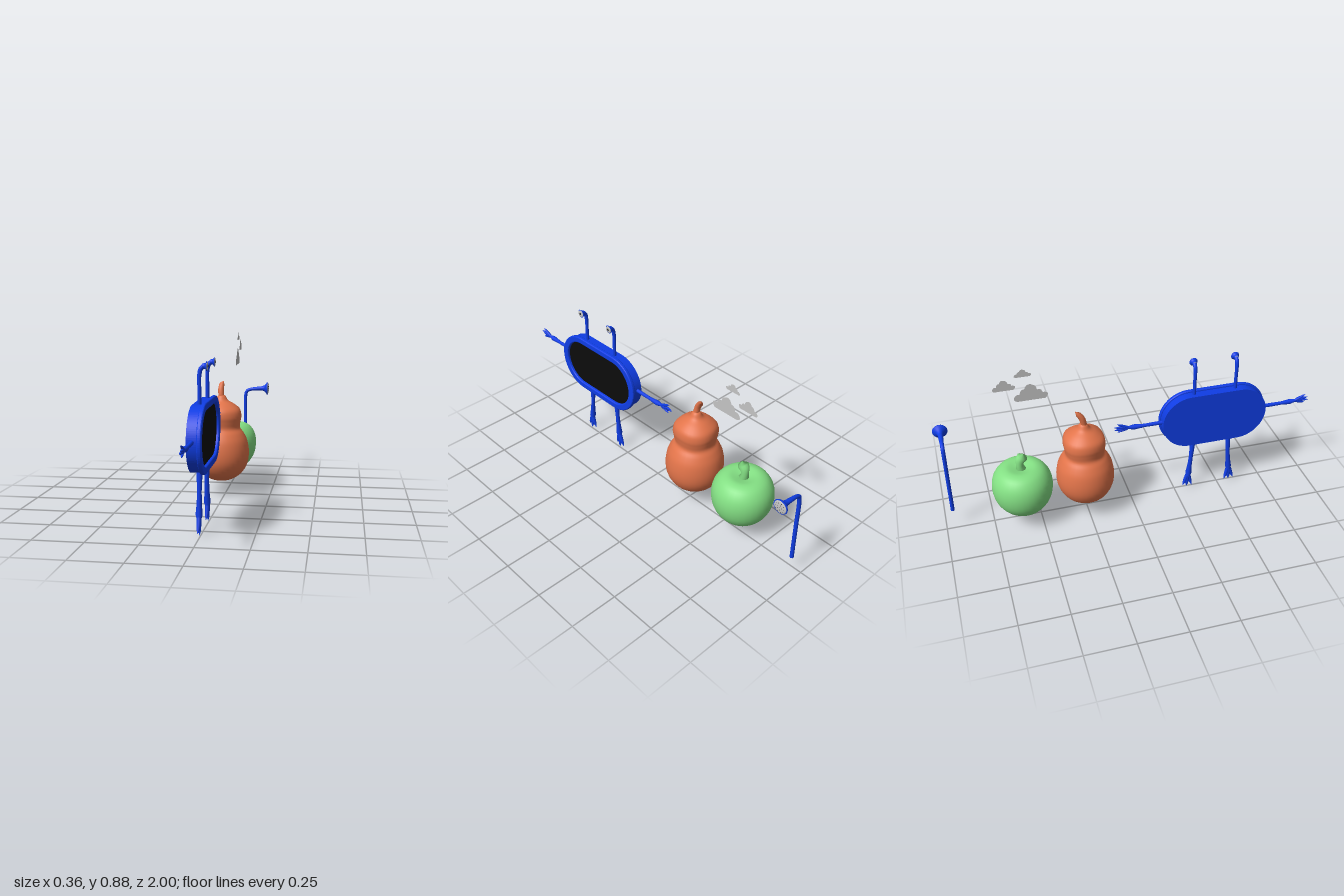
import * as THREE from 'three';

const mat = (name, color, side = THREE.FrontSide) => {
  const m = new THREE.MeshStandardMaterial({ color, side });
  m.name = name;
  return m;
};
const V = (x, y, z) => new THREE.Vector3(x, y, z);

// Tube along a curve whose radius follows evenly spaced values
function taperedTube(pts, radii, seg = 20, sides = 12) {
  const curve = new THREE.CatmullRomCurve3(pts.map(p => V(...p)), false, 'centripetal');
  const g = new THREE.TubeGeometry(curve, seg, 1, sides);
  const pos = g.attributes.position, v = V(0, 0, 0);
  for (let i = 0; i <= seg; i++) {
    const t = i / seg, c = curve.getPointAt(t);
    const f = t * (radii.length - 1), k = Math.min(Math.floor(f), radii.length - 2);
    const r = THREE.MathUtils.lerp(radii[k], radii[k + 1], f - k);
    for (let j = 0; j <= sides; j++) {
      const n = i * (sides + 1) + j;
      v.fromBufferAttribute(pos, n).sub(c).multiplyScalar(r).add(c);
      pos.setXYZ(n, v.x, v.y, v.z);
    }
  }
  return g;
}

// Smooth turned form through a few [radius, height] points
function turned(profile, sides = 32, steps = 30) {
  const curve = new THREE.SplineCurve(profile.map(p => new THREE.Vector2(...p)));
  const pts = curve.getPoints(steps).map(p => new THREE.Vector2(Math.max(p.x, 0), p.y));
  return new THREE.LatheGeometry(pts, sides);
}

// Stadium outline: half the straight length, and end radius
function stadium(path, half, r) {
  path.absarc(half, 0, r, -Math.PI / 2, Math.PI / 2, false);
  path.absarc(-half, 0, r, Math.PI / 2, Math.PI * 1.5, false);
  path.closePath();
  return path;
}

export function createModel() {
  const blue = mat('blue', 0x0f3de4);
  const black = mat('black', 0x0c0c0c);
  const orange = mat('orange', 0xe2744a);
  const green = mat('green', 0x84e084);
  const grey = mat('grey', 0xc4c4c4, THREE.DoubleSide);
  const dark = mat('dark', 0x2a2a2a);

  // Everything is laid out in a row along local x, then turned to face +x
  const row = new THREE.Group();
  row.name = 'row';
  row.rotation.y = Math.PI / 2;
  const add = (name, geo, material, parent, x = 0, y = 0, z = 0) => {
    const m = new THREE.Mesh(geo, material);
    m.name = name;
    m.position.set(x, y, z);
    parent.add(m);
    return m;
  };
  const group = (name, x = 0) => {
    const g = new THREE.Group();
    g.name = name;
    g.position.x = x;
    row.add(g);
    return g;
  };

  // Bell with a domed grey face, pointing along +z
  const bell = (name, parent, x, y, z, r, depth, neck) => {
    const b = new THREE.LatheGeometry([[neck, 0], [neck * 1.2, depth * 0.35], [r * 0.6, depth * 0.6],
      [r * 0.95, depth * 0.82], [r, depth * 0.92], [r * 0.96, depth], [0, depth]].map(p => new THREE.Vector2(...p)), 24);
    add(name + 'Bell', b.rotateX(Math.PI / 2), blue, parent, x, y, z);
    const f = new THREE.SphereGeometry(r * 0.88, 24, 6, 0, Math.PI * 2, 0, Math.PI / 2).scale(1, 0.16, 1);
    add(name + 'Face', f.rotateX(Math.PI / 2), grey, parent, x, y, z + depth);
  };

  // --- Tub creature ---
  const tub = group('tubCreature', -0.453);
  const bodyGeo = new THREE.ExtrudeGeometry(stadium(new THREE.Shape(), 0.134, 0.153),
    { depth: 0.047, bevelEnabled: false, curveSegments: 24 });
  add('body', bodyGeo, blue, tub, 0, 0.461, -0.035);
  const rim = stadium(new THREE.Shape(), 0.132, 0.156);
  rim.holes.push(stadium(new THREE.Path(), 0.128, 0.135));
  add('rim', new THREE.ExtrudeGeometry(rim, {
    depth: 0.008, bevelThickness: 0.007, bevelSize: 0.007, bevelSegments: 4, curveSegments: 24,
  }), blue, tub, 0, 0.461, 0.018);
  add('opening', new THREE.ShapeGeometry(stadium(new THREE.Shape(), 0.13, 0.136), 24), black, tub, 0, 0.461, 0.018);

  for (const s of [-1, 1]) {
    const side = s < 0 ? 'left' : 'right';
    // Eye stalk
    const ex = s * 0.113;
    add(side + 'EyeStalk', taperedTube([[ex, 0.58, -0.004], [ex, 0.68, -0.004], [ex, 0.745, -0.004],
      [ex, 0.775, 0.003], [ex, 0.787, 0.016]], [0.009, 0.009, 0.009, 0.011], 24), blue, tub);
    bell(side + 'Eye', tub, ex, 0.787, 0.01, 0.022, 0.022, 0.011);
    add(side + 'Pupil', new THREE.SphereGeometry(0.007, 12, 8).scale(1, 1, 0.4), dark, tub, ex, 0.787, 0.0345);

    // Arm and splayed fingers
    const hz = -0.009;
    add(side + 'Arm', taperedTube([[s * 0.27, 0.47, hz], [s * 0.42, 0.47, hz], [s * 0.465, 0.472, hz],
      [s * 0.497, 0.473, hz]], [0.01, 0.01, 0.009, 0.014, 0]), blue, tub);
    for (const [x, y, z] of [[0.53, 0.503, 0], [0.546, 0.482, 0.003], [0.546, 0.469, -0.004], [0.527, 0.451, 0.002]])
      add(side + 'Finger', taperedTube([[s * 0.465, 0.472, hz], [s * 0.495, 0.472 + (y - 0.472) * 0.45, hz],
        [s * x, y, hz + z]], [0.006, 0.008, 0.007, 0.0055, 0], 16, 8), blue, tub);

    // Leg and three toes
    const c = 0.008, lz = -0.008;
    add(side + 'Leg', taperedTube([[c + s * 0.1, 0.32, lz], [c + s * 0.108, 0.2, lz], [c + s * 0.117, 0.1, lz],
      [c + s * 0.122, 0.045, lz]], [0.015, 0.013, 0.011, 0.012, 0.017, 0]), blue, tub);
    for (const [x, y, z] of [[0.096, 0.013, -0.004], [0.124, 0.003, 0.004], [0.149, 0.015, -0.002]])
      add(side + 'Toe', taperedTube([[c + s * 0.119, 0.1, lz], [c + s * (0.06 + x / 2), 0.055, lz],
        [c + s * x, y, lz + z]], [0.008, 0.011, 0.01, 0.008, 0], 16, 8), blue, tub);
  }

  // --- Two-bulge gourd ---
  const gourd = group('gourd', 0.255);
  const gourdGeo = turned([[0, 0.08], [0.055, 0.085], [0.11, 0.12], [0.143, 0.175], [0.152, 0.235], [0.143, 0.3],
    [0.122, 0.345], [0.101, 0.375], [0.104, 0.41], [0.108, 0.44], [0.1, 0.475], [0.07, 0.503], [0.036, 0.525],
    [0.02, 0.55], [0, 0.56]], 32, 56);
  const gp = gourdGeo.attributes.position;
  for (let i = 0; i < gp.count; i++) { // upper bulge is slightly squared
    const x = gp.getX(i), y = gp.getY(i), z = gp.getZ(i);
    const w = THREE.MathUtils.smoothstep(y, 0.34, 0.42) * (1 - THREE.MathUtils.smoothstep(y, 0.48, 0.54));
    const k = 1 + 0.04 * w * (1 - Math.cos(4 * Math.atan2(z, x)));
    gp.setXYZ(i, x * k, y, z * k);
  }
  add('gourdBody', gourdGeo, orange, gourd, 0, 0, -0.022);
  add('gourdStem', taperedTube([[0, 0.51, -0.022], [-0.002, 0.55, -0.024], [0.008, 0.59, -0.026], [0.026, 0.615, -0.022],
    [0.038, 0.627, -0.014]], [0.036, 0.022, 0.016, 0.016, 0.016, 0.014, 0], 28), orange, gourd);

  // --- Squash ---
  const squash = group('squash', 0.588);
  add('squashBody', turned([[0, 0.067], [0.05, 0.07], [0.105, 0.105], [0.143, 0.16], [0.157, 0.225], [0.149, 0.285],
    [0.12, 0.33], [0.08, 0.348], [0.04, 0.342], [0, 0.33]], 32, 36), green, squash, 0, 0, -0.022);
  add('squashStem', taperedTube([[0, 0.325, -0.022], [0.004, 0.36, -0.022], [0, 0.39, -0.022], [-0.014, 0.412, -0.022],
    [-0.018, 0.426, -0.022]], [0.034, 0.022, 0.019, 0.021, 0.026, 0.028, 0.0], 28), green, squash);

  // --- Shower ---
  const shower = group('shower', 0.957);
  add('pipe', taperedTube([[0, 0.1, 0.03], [0, 0.3, 0.03], [0, 0.465, 0.03], [0, 0.492, 0.038], [0, 0.503, 0.06],
    [0, 0.508, 0.1], [0, 0.511, 0.145]], [0.01, 0.01, 0.01, 0.01, 0.01, 0.01, 0.014], 48), blue, shower);
  add('pipeEnd', new THREE.CircleGeometry(0.01, 12).rotateX(Math.PI / 2), blue, shower, 0, 0.1, 0.03);
  bell('shower', shower, 0, 0.511, 0.13, 0.039, 0.04, 0.014);
  for (const [n, r] of [[1, 0], [5, 0.012], [10, 0.024]])
    for (let i = 0; i < n; i++) {
      const a = i / n * Math.PI * 2;
      add('showerHole', new THREE.SphereGeometry(0.0022, 8, 6).scale(1, 1, 0.5), dark, shower,
        r * Math.cos(a), 0.511 + r * Math.sin(a), 0.17 + 0.16 * Math.sqrt(0.0343 ** 2 - r * r));
    }

  // --- Steam clouds: flat, with a level base ---
  const steam = group('steam');
  for (const [x, y, w, h] of [[0.412, 0.702, 0.172, 0.088], [0.57, 0.776, 0.114, 0.057], [0.488, 0.84, 0.086, 0.04]]) {
    const s = new THREE.Shape();
    s.moveTo(0.08, 0);
    s.lineTo(0.9, 0);
    for (const [cx, cy, px, py] of [[1.05, 0.1, 0.97, 0.32], [0.92, 0.5, 0.82, 0.45], [0.8, 0.78, 0.68, 0.76],
      [0.6, 1.2, 0.42, 0.97], [0.32, 0.9, 0.32, 0.62], [0.2, 0.72, 0.16, 0.42], [-0.1, 0.4, 0.08, 0]])
      s.quadraticCurveTo(cx, cy, px, py);
    add('cloud', new THREE.ShapeGeometry(s, 6).scale(w, h, 1), grey, steam, x, y, 0.036);
  }

  const model = new THREE.Group();
  model.name = 'model';
  model.add(row);
  return model;
}
